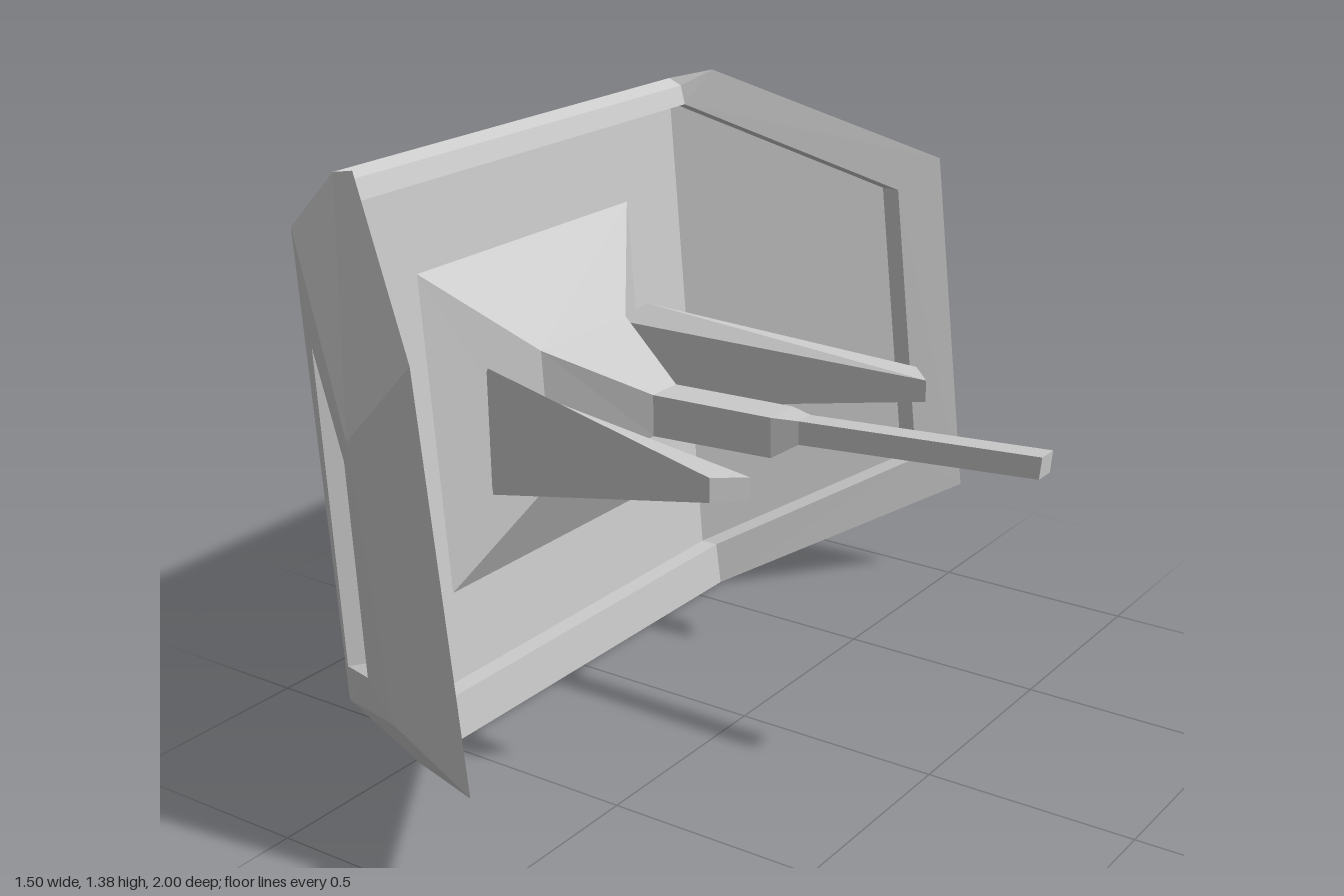
import * as THREE from 'three';

const material = new THREE.MeshStandardMaterial({ color: 0xcccccc, flatShading: true, side: THREE.DoubleSide });
const V = (p) => new THREE.Vector3(...p);
const mirrorZ = ([x, y, z]) => [x, y, -z];
const shift = ([x, y, z], [a, b, c]) => [x + a, y + b, z + c];

// Flat faces: each is [corners, direction it should face]
function facesMesh(name, faces) {
  const pos = [];
  for (const [pts, dir] of faces) {
    const v = pts.map(V);
    const n = new THREE.Vector3();
    for (let i = 1; i < v.length - 1; i++) {
      n.add(v[i].clone().sub(v[0]).cross(v[i + 1].clone().sub(v[0])));
    }
    if (n.dot(V(dir)) < 0) v.reverse();
    for (let i = 1; i < v.length - 1; i++) {
      for (const p of [v[0], v[i], v[i + 1]]) pos.push(p.x, p.y, p.z);
    }
  }
  const g = new THREE.BufferGeometry();
  g.setAttribute('position', new THREE.Float32BufferAttribute(pos, 3));
  g.computeVertexNormals();
  const m = new THREE.Mesh(g, material);
  m.name = name;
  return m;
}

// Solid through a row of four-cornered sections, closed at both ends
function loft(name, sections) {
  const faces = [];
  const centre = (s) => s.reduce((c, p) => c.add(V(p)), new THREE.Vector3()).multiplyScalar(0.25);
  for (let i = 0; i < sections.length - 1; i++) {
    const a = sections[i], b = sections[i + 1];
    const mid = centre([...a]).add(centre(b)).multiplyScalar(0.5);
    for (let k = 0; k < 4; k++) {
      const quad = [a[k], a[(k + 1) % 4], b[(k + 1) % 4], b[k]];
      faces.push([quad, centre(quad).sub(mid).toArray()]);
    }
  }
  faces.push([sections[0], [-1, 0, 0]], [sections[sections.length - 1], [1, 0, 0]]);
  return facesMesh(name, faces);
}

// Shield corners on the +z side
const plateTop = [-0.755, 1.215, 0.61], plateLow = [-0.685, 0.105, 0.605];
const endA = [-0.245, 0.955, 1], endB = [-0.07, 1.14, 1];
const endC = [0.025, 0.265, 1], endD = [-0.17, 0.37, 1];
const peak = [-0.53, 1.375, 0.645], foot = [-0.48, 0, 0.6];
const lipTop = [-0.63, 1.35, 0.6], lipEdge = [-0.595, 1.335, 0.6];
const inset = [-0.045, 0, 0];
const rim = [[-0.58, 1.29, 0.595], [-0.15, 1.06, 0.93], [-0.075, 0.34, 0.93], [-0.49, 0.11, 0.595]];
const panel = rim.map((p) => shift(p, inset));
const windowRim = [[-0.635, 0.99, 0.692], [-0.36, 0.855, 0.895], [-0.36, 0.365, 0.87], [-0.635, 0.225, 0.653]];
const windowFloor = windowRim.map((p) => shift(p, [0.035, 0, -0.045]));

// Middle of the shield: one closed profile spanning from side to side
function shieldMiddle() {
  const profile = [plateTop, lipTop, lipEdge, rim[0], panel[0], panel[3], rim[3], foot, plateLow];
  const facing = [[-1, 1, 0], [0, 1, 0], [1, 0, 0], [0, -1, 0], [1, 0, 0], [0, 1, 0], [1, 0, 0], [-0.5, -1, 0], [-1, 0, 0]];
  return facesMesh('shieldMiddle', profile.map((p, i) => {
    const q = profile[(i + 1) % profile.length];
    return [[p, q, mirrorZ(q), mirrorZ(p)], facing[i]];
  }));
}

// Angled wing with a recessed inner panel and a recessed outer window
function shieldWing(side) {
  const out = [-0.6, 0, 0.8], inward = [0.6, 0, -0.8];
  const outer = [plateTop, endA, endD, plateLow];
  const faces = [
    [[plateTop, lipTop, peak, endB, endA], [-0.5, 1, 0.5]],
    [[peak, lipTop, lipEdge, rim[0]], [0.3, 0.5, -1]],
    [[endA, endB, endC, endD], [0, 0, 1]],
    [[plateLow, endD, endC, foot], [0, -1, 0.5]],
    [[peak, endB, rim[1], rim[0]], inward],
    [[endB, endC, rim[2], rim[1]], inward],
    [[endC, foot, rim[3], rim[2]], inward],
    [panel, inward],
    [windowFloor, out],
  ];
  const stepFacing = [[0, -1, 0], [0, 0, -1], [0, 1, 0]];
  for (let i = 0; i < 3; i++) {
    faces.push([[rim[i], rim[i + 1], panel[i + 1], panel[i]], stepFacing[i]]);
  }
  const wallFacing = [[0, -1, 0], [-0.8, 0, -0.6], [0, 1, 0], [0.8, 0, 0.6]];
  for (let i = 0; i < 4; i++) {
    const j = (i + 1) % 4;
    faces.push([[outer[i], outer[j], windowRim[j], windowRim[i]], out]);
    faces.push([[windowRim[i], windowRim[j], windowFloor[j], windowFloor[i]], wallFacing[i]]);
  }
  const placed = side > 0 ? faces : faces.map(([pts, d]) => [pts.map(mirrorZ), mirrorZ(d)]);
  return facesMesh(side > 0 ? 'frontWing' : 'backWing', placed);
}

// Section across the barrel: x at the top and bottom, heights, half width
const section = (xTop, xLow, top, low, w) => [[xTop, top, w], [xTop, top, -w], [xLow, low, -w], [xLow, low, w]];

export function createModel() {
  const group = new THREE.Group();
  group.add(shieldMiddle(), shieldWing(1), shieldWing(-1));

  // Tapered mount flowing into the barrel
  group.add(loft('mountAndBarrel', [
    section(-0.609, -0.551, 1.08, 0.325, 0.385),
    section(-0.45, -0.43, 0.87, 0.555, 0.16),
    section(-0.22, -0.22, 0.775, 0.675, 0.045),
    section(0.1, 0.1, 0.785, 0.69, 0.045),
    section(0.16, 0.16, 0.783, 0.728, 0.025),
    section(0.75, 0.745, 0.825, 0.775, 0.025),
  ]));

  // Tapered side arms with slanted tips
  const arm = [
    [[-0.54, 0.82, 0.25], [-0.49, 0.86, 0.3], [-0.49, 0.555, 0.3], [-0.54, 0.595, 0.25]],
    [[0.26, 0.785, 0.365], [0.2, 0.79, 0.425], [0.2, 0.735, 0.425], [0.26, 0.733, 0.365]],
  ];
  group.add(loft('frontArm', arm));
  group.add(loft('backArm', arm.map((s) => s.map(mirrorZ))));
  return group;
}
